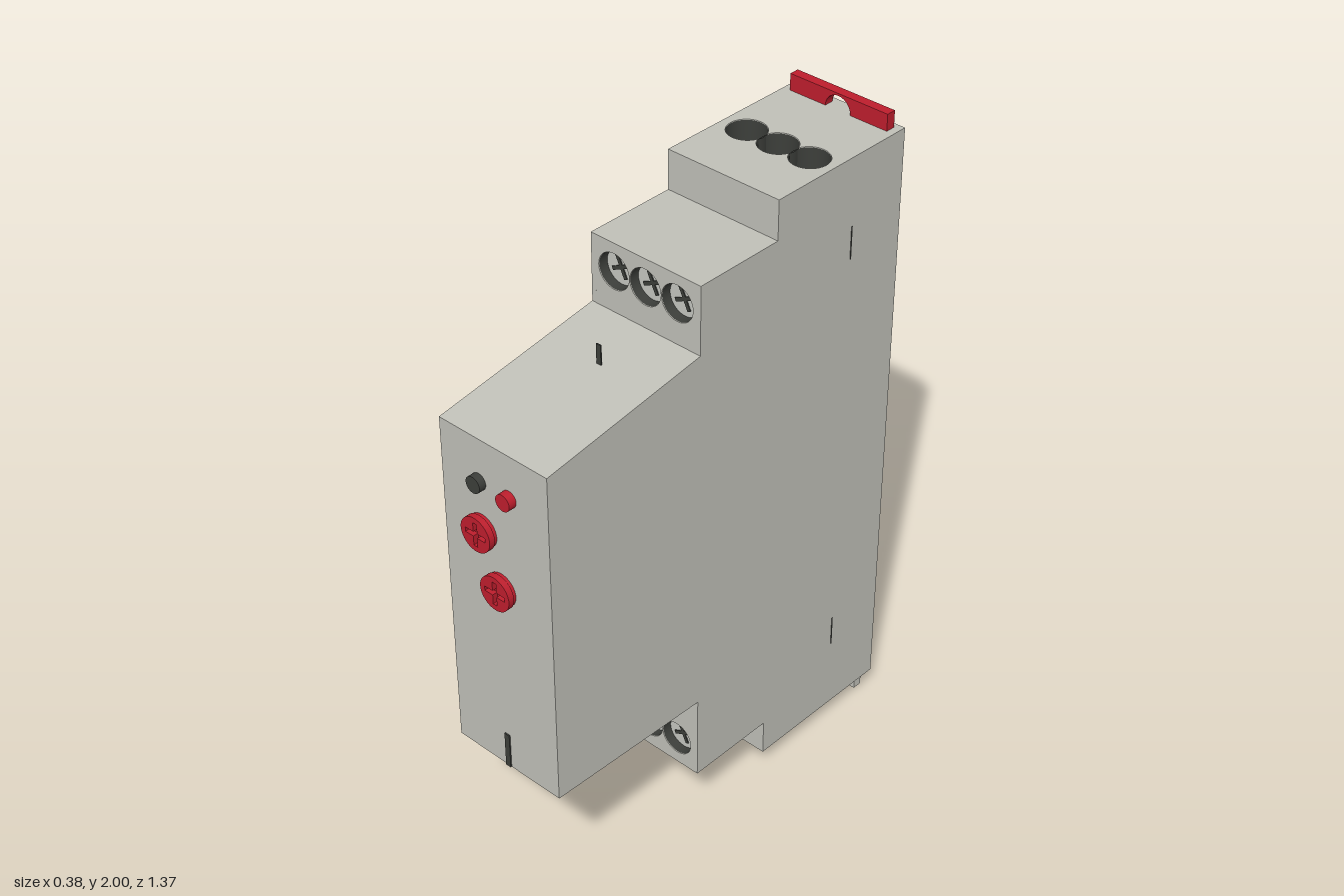
import * as THREE from 'three';

const mat = (name, color, side = THREE.FrontSide) => {
  const m = new THREE.MeshStandardMaterial({ color, side });
  m.name = name;
  return m;
};

export function createModel() {
  const root = new THREE.Group();
  root.name = 'relayModule';
  const grey = mat('housingGrey', 0xc0c0b8);
  const red = mat('signalRed', 0xbe1e2d);
  const dark = mat('darkGrey', 0x3c3e3a, THREE.DoubleSide);
  const copper = mat('copper', 0xa0643a);
  const steel = mat('screwSteel', 0xc4c6c0);

  const add = (name, geo, material, x = 0, y = 0, z = 0, parent = root) => {
    const m = new THREE.Mesh(geo, material);
    m.name = name;
    m.position.set(x, y, z);
    parent.add(m);
    return m;
  };
  const box = (name, material, x0, x1, y0, y1, z0, z1) =>
    add(name, new THREE.BoxGeometry(x1 - x0, y1 - y0, z1 - z0), material,
      (x0 + x1) / 2, (y0 + y1) / 2, (z0 + z1) / 2);
  const extrude = (shape, depth) =>
    new THREE.ExtrudeGeometry(shape, { depth, bevelEnabled: false, curveSegments: 20 });
  const disc = (r, depth) => new THREE.CylinderGeometry(r, r, depth, 32).rotateX(Math.PI / 2);

  // Hole outlines
  const circle = (x, y, r) => new THREE.Path().absarc(x, y, r, 0, Math.PI * 2, false);
  const wireR = 0.057, wireGap = 0.108, screwR = 0.054, screwGap = 0.11;
  const tripleHole = (y) => {
    const p = new THREE.Path();
    const a = Math.acos(wireGap / 2 / wireR), PI = Math.PI;
    p.absarc(wireGap, y, wireR, -PI + a, PI - a, false);
    p.absarc(0, y, wireR, a, PI - a, false);
    p.absarc(-wireGap, y, wireR, a, 2 * PI - a, false);
    p.absarc(0, y, wireR, PI + a, 2 * PI - a, false);
    p.closePath();
    return [p];
  };
  const screwHoles = (y) => [-1, 0, 1].map((i) => circle(i * screwGap, y, screwR));

  // Housing profile as [z, y], from the back foot over the top and down the front
  const profile = [
    [-0.685, 0.06], [-0.685, 1.95], [-0.18, 1.95], [-0.18, 1.83], [0.11, 1.83], [0.11, 1.622],
    [0.66, 1.54], [0.66, 0.47], [0.11, 0.45], [0.11, 0.175], [-0.18, 0.175], [-0.18, 0.06],
  ];
  const half = 0.19, wall = 0.015, inner = half - wall;
  const openings = { 1: tripleHole(0.29), 4: screwHoles(0.085), 8: screwHoles(0.185), 11: tripleHole(0.215) };

  // Side walls
  const sideShape = new THREE.Shape(profile.map(([z, y]) => new THREE.Vector2(-z, y)));
  for (const [name, x] of [['leftWall', inner], ['rightWall', -half]]) {
    add(name, extrude(sideShape, wall).rotateY(Math.PI / 2), grey, x);
  }

  // One panel along each profile edge, thickened inwards
  profile.forEach(([z0, y0], i) => {
    const [z1, y1] = profile[(i + 1) % profile.length];
    const len = Math.hypot(z1 - z0, y1 - y0);
    const dz = (z1 - z0) / len, dy = (y1 - y0) / len;
    const shape = new THREE.Shape([[-inner, 0], [inner, 0], [inner, len], [-inner, len]]
      .map((p) => new THREE.Vector2(...p)));
    shape.holes = openings[i] || [];
    const t = i === 1 || i === 11 ? 0.1 : wall;
    const geo = extrude(shape, t).translate(0, 0, -t);
    geo.applyMatrix4(new THREE.Matrix4().makeBasis(
      new THREE.Vector3(-1, 0, 0), new THREE.Vector3(0, dy, dz), new THREE.Vector3(0, dz, -dy)));
    add('housingPanel', geo, grey, 0, y0, z0);
  });

  // Wire entries on top and bottom: dark sleeve, copper clamp and its pin
  const a = Math.acos(0.036 / 0.055);
  const clampShape = new THREE.Shape();
  clampShape.absarc(0, 0, 0.055, a, Math.PI - a, false);
  clampShape.absarc(0, 0, 0.055, Math.PI + a, 2 * Math.PI - a, false);
  for (const [y, s] of [[1.95, 1], [0.06, -1]]) {
    for (const i of [-1, 0, 1]) {
      const x = i * wireGap, z = -0.395;
      add('wireSleeve', new THREE.CylinderGeometry(0.0565, 0.0565, 0.1, 28, 1, true), dark, x, y - s * 0.052, z);
      add('wireClamp', extrude(clampShape, 0.06).translate(0, 0, -0.03).rotateX(Math.PI / 2), copper, x, y - s * 0.16, z);
      add('clampPin', new THREE.CylinderGeometry(0.027, 0.027, 0.07, 20), copper, x, y - s * 0.16, z);
    }
  }

  // Terminal screws sunk into the front steps
  for (const y of [1.745, 0.265]) {
    for (const i of [-1, 0, 1]) {
      const screw = new THREE.Group();
      screw.name = 'terminalScrew';
      screw.position.set(i * screwGap, y, 0.11);
      root.add(screw);
      add('screwSleeve', new THREE.CylinderGeometry(0.0535, 0.0535, 0.05, 28, 1, true).rotateX(Math.PI / 2),
        dark, 0, 0, -0.027, screw);
      add('screwHead', disc(0.052, 0.02), steel, 0, 0, -0.04, screw);
      for (const turn of [0.45, 0.45 + Math.PI / 2]) {
        add('screwSlot', new THREE.BoxGeometry(0.07, 0.011, 0.004), dark, 0, 0, -0.029, screw).rotation.z = turn;
      }
    }
  }

  // Adjusting knobs with a cross recess
  const l = 0.036, w = 0.007;
  const cross = [[l, -w], [l, w], [w, w], [w, l], [-w, l], [-w, w], [-l, w], [-l, -w], [-w, -w], [-w, -l], [w, -l], [w, -w]];
  for (const [x, y] of [[-0.05, 1.255], [0.01, 1.095]]) {
    const knob = new THREE.Shape().absarc(0, 0, 0.053, 0, Math.PI * 2, false);
    knob.holes.push(new THREE.Path(cross.map((p) => new THREE.Vector2(...p))));
    add('knobRim', extrude(knob, 0.018), red, x, y, 0.67);
    add('knobBase', disc(0.05, 0.015), red, x, y, 0.664);
  }

  // Indicator lamps
  add('darkLamp', disc(0.025, 0.03), dark, -0.055, 1.407, 0.667);
  add('redLamp', disc(0.025, 0.03), red, 0.053, 1.407, 0.669);

  // Rail latches, each with a round eye cut by the housing edge
  const latch = (name, material, edge, tip) => {
    const s = Math.sign(tip - edge), r = 0.043;
    const shape = new THREE.Shape();
    shape.moveTo(-0.167, edge);
    shape.lineTo(-r, edge);
    shape.absarc(0, edge, r, Math.PI, 0, s > 0);
    shape.lineTo(0.167, edge);
    shape.lineTo(0.167, tip);
    shape.lineTo(-0.167, tip);
    shape.closePath();
    add(name, extrude(shape, 0.03), material, 0, 0, -0.667);
  };
  latch('topLatch', red, 1.95, 2);
  latch('bottomLatch', grey, 0.06, 0);

  // Lower clip and its red plate
  box('lowerClip', grey, -0.095, 0.095, 0.055, 0.122, -0.18, -0.142);
  box('clipPlate', red, -0.092, 0.092, 0.053, 0.06, -0.25, -0.195);

  // Fine dark markers
  box('slopeMarker', dark, -0.008, 0.008, 1.59, 1.656, 0.279, 0.283);
  box('frontMarker', dark, -0.009, 0.009, 0.47, 0.585, 0.658, 0.664);
  for (const s of [-1, 1]) {
    for (const y of [1.69, 0.345]) {
      add('sideMarker', new THREE.BoxGeometry(0.004, 0.1, 0.003), dark, s * half, y, -0.48);
    }
  }
  return root;
}
